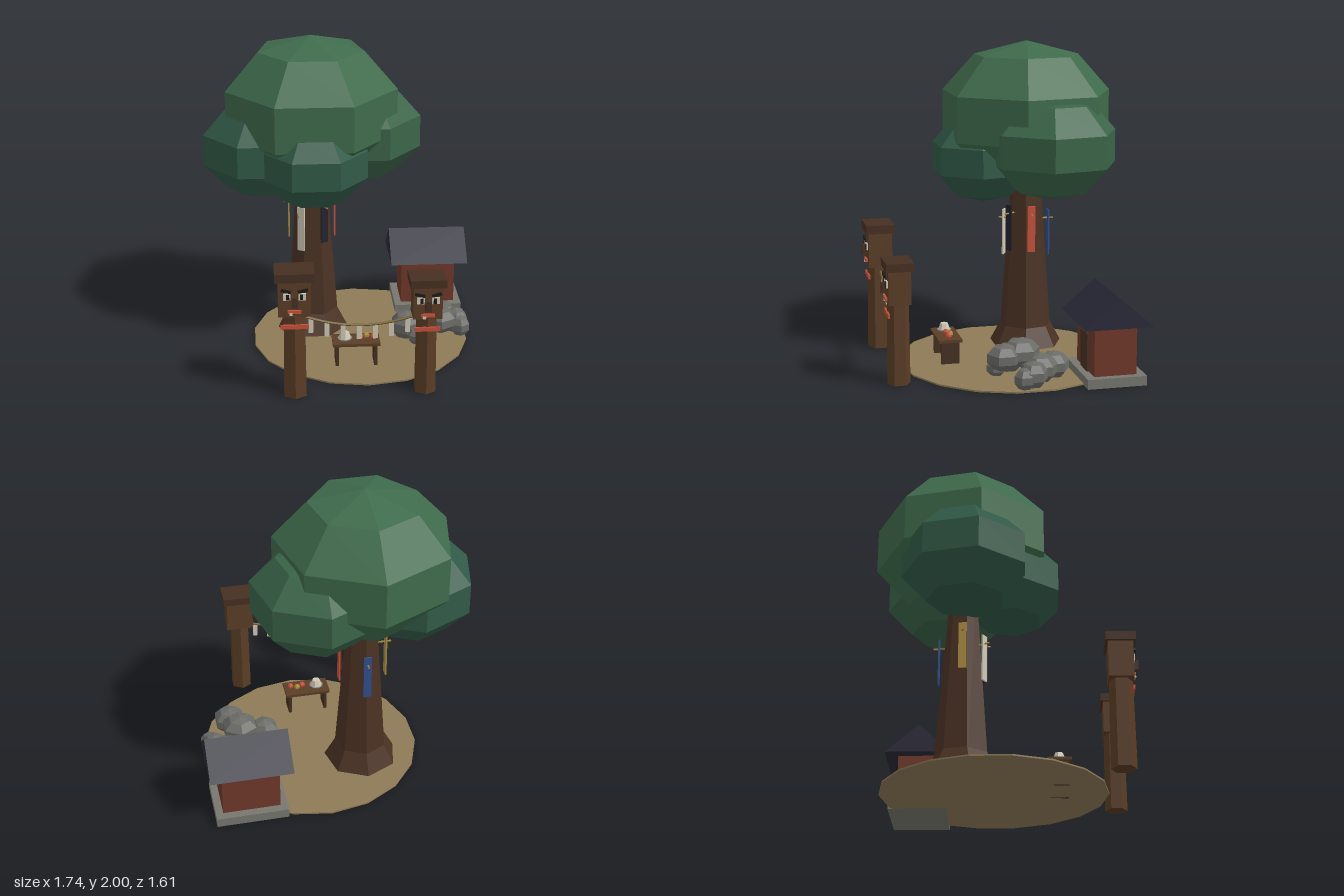
import * as THREE from 'three';

const mat = (color) => new THREE.MeshStandardMaterial({ color, flatShading: true });
const M = {
  leaf: mat(0x3f6b4c), leafDark: mat(0x315a47), leafMid: mat(0x3a6448),
  bark: mat(0x4a3223), earth: mat(0x8d7a56), wood: mat(0x5a3d26), darkWood: mat(0x463022),
  red: mat(0xc8503a), white: mat(0xcfc8b6), black: mat(0x1c1a1a), rope: mat(0x7a6432),
  wall: mat(0x70382a), roof: mat(0x2b2a3a), stone: mat(0x77776f), rock: mat(0x6b6b68),
  navy: mat(0x22222e), blue: mat(0x2f4f8c), gold: mat(0xa88a3c), grey: mat(0x8a8a88),
};

export function createModel() {
  const root = new THREE.Group();

  function add(parent, name, geo, material, x = 0, y = 0, z = 0) {
    const m = new THREE.Mesh(geo, material);
    m.name = name;
    m.position.set(x, y, z);
    parent.add(m);
    return m;
  }
  const box = (p, name, w, h, d, material, x, y, z) =>
    add(p, name, new THREE.BoxGeometry(w, h, d), material, x, y, z);
  function group(name, x = 0, y = 0, z = 0) {
    const g = new THREE.Group();
    g.name = name;
    g.position.set(x, y, z);
    root.add(g);
    return g;
  }
  // Low-poly ball with a corner pointing to the back
  const ball = (sides, r, ry) =>
    new THREE.SphereGeometry(1, sides, 5).rotateY(-Math.PI / 2).scale(r, ry, r);

  // Ground
  add(root, 'ground', new THREE.CylinderGeometry(0.705, 0.705, 0.01, 18), M.earth, 0.12, 0.005, -0.073);

  // Tree
  const tree = group('tree', -0.185, 0, -0.255);
  const trunkPart = (r1, r0, h) => new THREE.CylinderGeometry(r1, r0, h, 7).rotateY(Math.PI);
  add(tree, 'trunk', trunkPart(0.085, 0.178, 1.25), M.bark, 0, 0.63, 0);
  add(tree, 'rootFlare', trunkPart(0.168, 0.24, 0.135), M.bark, 0, 0.0725, 0);
  [
    ['crown', 0.584, 0.47, 0, 1.53, 0, M.leaf],
    ['leftFoliage', 0.43, 0.335, 0.305, 1.355, -0.095, M.leafMid],
    ['rightFoliage', 0.417, 0.325, -0.3, 1.29, 0.025, M.leafDark],
    ['frontFoliage', 0.357, 0.29, 0.005, 1.26, 0.282, M.leafDark],
  ].forEach(([n, r, ry, x, y, z, m]) => add(tree, n, ball(7, r, ry), m, x, y, z));

  // Cloth strips hung on pegs around the trunk
  [
    ['redBanner', 90, 0.8, M.red], ['navyBanner', 30, 0.8, M.navy], ['whiteBanner', -30, 0.745, M.white],
    ['goldBanner', -90, 0.8, M.gold], ['blueBanner', 180, 0.745, M.blue],
  ].forEach(([n, deg, y, m]) => {
    const g = new THREE.Group();
    g.name = n;
    g.rotation.y = THREE.MathUtils.degToRad(deg);
    box(g, 'cloth', 0.05, 0.3, 0.01, m, 0, y, 0.15);
    const peg = add(g, 'peg', new THREE.CylinderGeometry(0.006, 0.006, 0.1, 5), M.gold, 0, y + 0.095, 0.135);
    peg.rotation.x = Math.PI / 2;
    tree.add(g);
  });

  // Carved guardian posts: h = head bottom, w/hh = head size, r = pole radius
  function totem(name, x, h, w, hh, capH, r) {
    const g = group(name, x, 0, 0.695);
    const d = w * 0.78, f = d / 2, mid = h + hh / 2;
    add(g, 'pole', new THREE.CylinderGeometry(r * 0.93, r, h + 0.02, 6), M.wood, 0, (h + 0.02) / 2, 0);
    box(g, 'head', w, hh, d, M.wood, 0, mid, 0);
    box(g, 'cap', w + 0.042, capH, d + 0.03, M.darkWood, 0, h + hh + capH / 2, 0);
    box(g, 'nose', 0.036, 0.065, 0.036, M.darkWood, 0, mid - 0.01, f + 0.014);
    for (const s of [-1, 1]) {
      box(g, 'eye', 0.045, 0.042, 0.01, M.white, s * 0.045, mid + 0.02, f + 0.004);
      box(g, 'pupil', 0.018, 0.034, 0.01, M.black, s * 0.04, mid + 0.02, f + 0.008);
      const brow = box(g, 'brow', 0.06, 0.016, 0.016, M.black, s * 0.05, mid + 0.058, f + 0.006);
      brow.rotation.z = s * 0.25;
    }
    box(g, 'mouth', 0.082, 0.02, 0.014, M.red, 0, mid - 0.076, f + 0.006);
    box(g, 'tooth', 0.02, 0.018, 0.012, M.white, -0.022, mid - 0.088, f + 0.008);
    box(g, 'sash', r * 2.16, 0.027, 0.012, M.red, 0, h - 0.066, r * 0.93);
  }
  totem('rightTotem', -0.335, 0.55, 0.195, 0.226, 0.054, 0.078);
  totem('leftTotem', 0.459, 0.506, 0.175, 0.207, 0.05, 0.071);

  // Sagging rope with paper strips
  const ropeGroup = group('ropeLine');
  const sag = new THREE.QuadraticBezierCurve3(
    new THREE.Vector3(-0.3, 0.525, 0.692), new THREE.Vector3(0.06, 0.375, 0.692), new THREE.Vector3(0.43, 0.515, 0.692));
  add(ropeGroup, 'rope', new THREE.TubeGeometry(sag, 16, 0.008, 5), M.rope);
  for (let i = 0; i < 7; i++) {
    const p = sag.getPoint(0.09 + i * 0.133);
    box(ropeGroup, 'paperStrip', 0.03, 0.09, 0.005, M.white, p.x, p.y - 0.05, p.z);
  }

  // Offering table
  const table = group('offeringTable', 0.063, 0, 0.326);
  box(table, 'tableTop', 0.3, 0.018, 0.15, M.wood, 0, 0.16, 0);
  for (const s of [-1, 1]) box(table, 'tableLeg', 0.02, 0.152, 0.115, M.darkWood, s * 0.122, 0.076, 0);
  add(table, 'plate', new THREE.CylinderGeometry(0.048, 0.04, 0.012, 8), M.grey, -0.07, 0.175, 0);
  add(table, 'riceMound', new THREE.CylinderGeometry(0.025, 0.04, 0.042, 7), M.white, -0.07, 0.2, 0);
  [[0.028, 0.006, M.red], [0.066, -0.012, M.gold], [0.108, 0.006, M.red]].forEach(([x, z, m]) =>
    add(table, 'fruit', new THREE.SphereGeometry(0.021, 6, 5), m, x, 0.188, z));

  // Shrine house
  const house = group('shrine', 0.614, 0, -0.565);
  box(house, 'foundation', 0.455, 0.06, 0.37, M.stone, 0, 0.03, 0);
  box(house, 'walls', 0.362, 0.32, 0.265, M.wall, 0, 0.22, 0);
  box(house, 'door', 0.138, 0.235, 0.02, M.darkWood, 0, 0.178, 0.135);
  const gable = new THREE.Shape([
    new THREE.Vector2(-0.213, 0.37), new THREE.Vector2(0.213, 0.37), new THREE.Vector2(0, 0.555)]);
  const roofGeo = new THREE.ExtrudeGeometry(gable, { depth: 0.518, bevelEnabled: false });
  add(house, 'roof', roofGeo.translate(0, 0, -0.259).rotateY(Math.PI / 2), M.roof);

  // Rock pile: x, y, z, radius, half height
  const rocks = group('rockPile');
  [
    [0.415, 0.1, 0.0, 0.103, 0.095], [0.58, 0.18, -0.03, 0.125, 0.09], [0.632, 0.17, 0.085, 0.108, 0.085],
    [0.66, 0.1, -0.13, 0.12, 0.09], [0.6, 0.095, -0.235, 0.1, 0.085], [0.755, 0.09, -0.07, 0.09, 0.085],
    [0.78, 0.075, -0.01, 0.068, 0.07], [0.48, 0.06, 0.095, 0.064, 0.055],
  ].forEach(([x, y, z, r, ry]) => add(rocks, 'rock', ball(6, r, ry), M.rock, x, y, z));

  return root;
}
